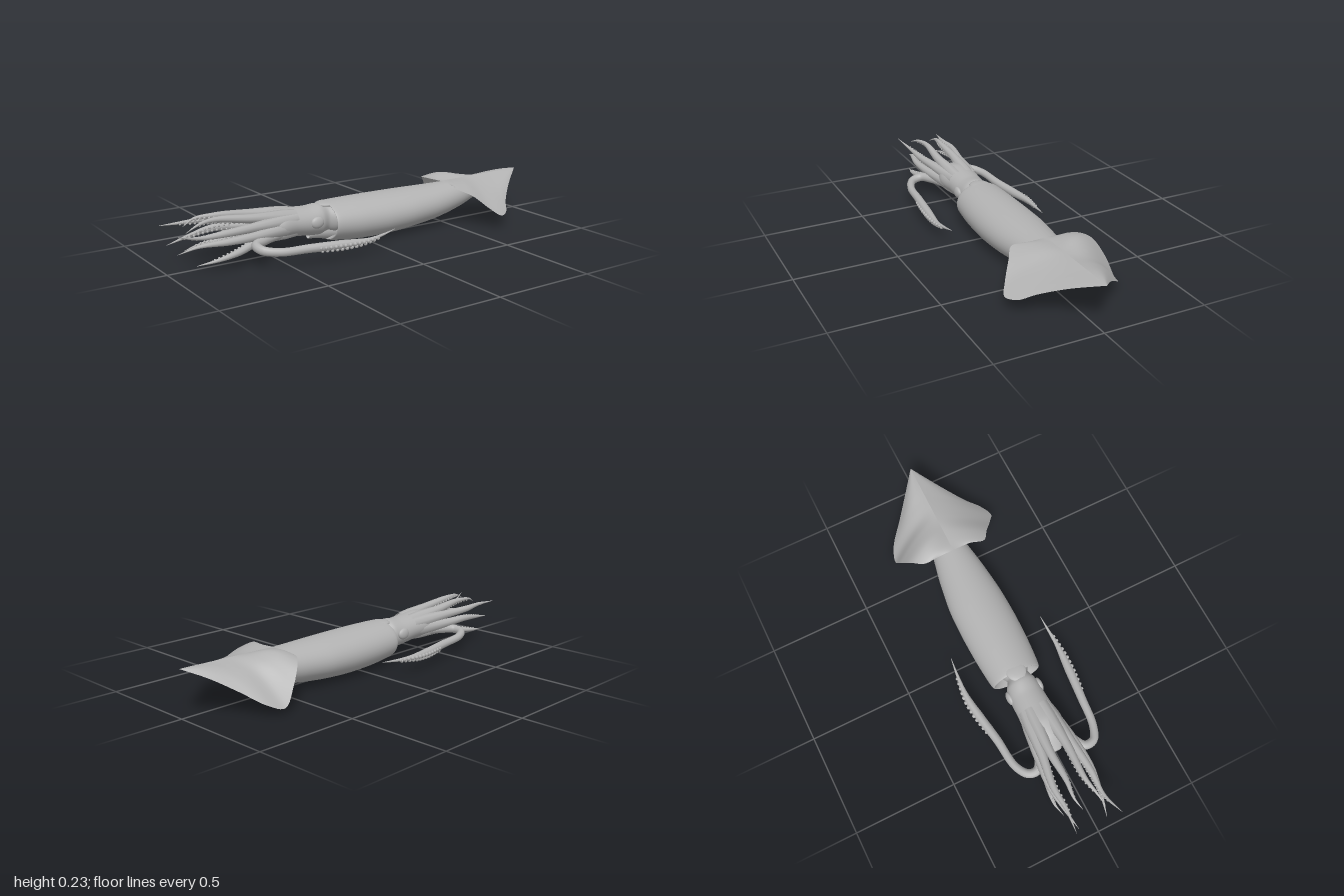
import * as THREE from 'three';
import { mergeGeometries } from 'three/addons/utils/BufferGeometryUtils.js';

const V = (p) => new THREE.Vector3(...p);

// Indexed grid surface from point(i, j); columns may wrap round
function grid(rows, cols, wrap, point) {
  const pos = [], idx = [];
  for (let i = 0; i < rows; i++) for (let j = 0; j < cols; j++) pos.push(...point(i, j));
  for (let i = 0; i < rows - 1; i++) for (let j = 0; j < (wrap ? cols : cols - 1); j++) {
    const k = (j + 1) % cols;
    const a = i * cols + j, b = a + cols, c = i * cols + k, d = c + cols;
    idx.push(a, b, c, b, d, c);
  }
  const g = new THREE.BufferGeometry();
  g.setAttribute('position', new THREE.Float32BufferAttribute(pos, 3));
  g.setIndex(idx);
  g.computeVertexNormals();
  return g;
}

// Smooth loft along x from stations [x, yBottom, yTop, zMin, zMax]
function loft(stations, rows = 70, cols = 40) {
  const curve = (f) => new THREE.CatmullRomCurve3(stations.map(f), false, 'catmullrom', 0.4);
  const low = curve((s) => V([s[0], s[1], s[3]]));
  const high = curve((s) => V([s[0], s[2], s[4]]));
  return grid(rows, cols, true, (i, j) => {
    const t = i / (rows - 1), a = (j / cols) * Math.PI * 2;
    const l = low.getPoint(t), h = high.getPoint(t);
    return [l.x, (l.y + h.y) / 2 + (h.y - l.y) / 2 * Math.sin(a),
      (l.z + h.z) / 2 + (h.z - l.z) / 2 * Math.cos(a)];
  });
}

// Tube whose radius follows a list of values from root to tip
function taperedTube(curve, radii, seg = 48, sides = 10) {
  const g = new THREE.TubeGeometry(curve, seg, 1, sides, false);
  const p = g.attributes.position, v = new THREE.Vector3();
  for (let i = 0; i <= seg; i++) {
    const c = curve.getPointAt(i / seg), r = radiusAt(radii, i / seg);
    for (let j = 0; j <= sides; j++) {
      const k = i * (sides + 1) + j;
      v.fromBufferAttribute(p, k).sub(c).multiplyScalar(r).add(c);
      p.setXYZ(k, v.x, v.y, v.z);
    }
  }
  return g;
}

function radiusAt(radii, t) {
  const f = t * (radii.length - 1), i = Math.min(Math.floor(f), radii.length - 2);
  return THREE.MathUtils.lerp(radii[i], radii[i + 1], f - i);
}

// Two rows of suckers on the side of a curve that faces dir
function suckers(curve, radii, from, to, count, size, dir) {
  const parts = [], side = new THREE.Vector3();
  for (let i = 0; i < count; i++) for (const s of [-1, 1]) {
    const t = from + (to - from) * (i + (s > 0 ? 0.5 : 0)) / count;
    const r = radiusAt(radii, t), c = curve.getPointAt(t);
    side.crossVectors(curve.getTangentAt(t), dir).normalize();
    c.addScaledVector(dir, r * 0.85).addScaledVector(side, s * r * 0.5);
    const k = size * (0.75 + 0.35 * Math.sin(Math.PI * i / count));
    parts.push(new THREE.SphereGeometry(k, 7, 5).translate(c.x, c.y, c.z));
  }
  return mergeGeometries(parts);
}

export function createModel() {
  const model = new THREE.Group();
  model.name = 'squid';
  const skin = new THREE.MeshStandardMaterial({ color: 0xb2b2b2, side: THREE.DoubleSide });
  skin.name = 'grey skin';
  const add = (name, geometry, parent = model) => {
    const m = new THREE.Mesh(geometry, skin);
    m.name = name;
    parent.add(m);
  };

  // Mantle, with its rim folded inwards at the open end
  add('mantle', loft([
    [-0.10, 0.05, 0.19, -0.10, 0.08], [-0.17, 0.04, 0.198, -0.115, 0.09],
    [-0.195, 0.027, 0.205, -0.13, 0.105], [-0.17, 0.018, 0.209, -0.14, 0.113],
    [-0.05, 0.006, 0.21, -0.149, 0.124], [0.1, 0.002, 0.209, -0.153, 0.129],
    [0.25, 0.01, 0.207, -0.149, 0.124], [0.4, 0.025, 0.205, -0.128, 0.107],
    [0.5, 0.042, 0.205, -0.108, 0.09], [0.6, 0.066, 0.206, -0.085, 0.07],
    [0.7, 0.1, 0.208, -0.06, 0.048], [0.8, 0.135, 0.21, -0.04, 0.028],
    [0.9, 0.175, 0.214, -0.022, 0.012], [0.99, 0.217, 0.219, -0.003, 0.001],
  ], 100));

  // Pointed lip on the mantle's upper rim
  add('mantleLip', new THREE.SphereGeometry(1, 20, 12).scale(0.055, 0.012, 0.05).translate(-0.185, 0.197, -0.015));

  // Tail fins drooping from the midline to a wavy edge
  const finEdges = {
    rightFin: [[0.5, 0.207, -0.09], [0.5, 0.203, -0.16], [0.54, 0.185, -0.212], [0.6, 0.11, -0.252],
      [0.66, 0.03, -0.266], [0.73, 0.05, -0.238], [0.82, 0.115, -0.155], [0.91, 0.175, -0.075], [1, 0.22, 0]],
    leftFin: [[0.5, 0.207, 0.09], [0.484, 0.2, 0.155], [0.54, 0.17, 0.198], [0.61, 0.105, 0.252],
      [0.66, 0.07, 0.28], [0.72, 0.075, 0.25], [0.77, 0.11, 0.19], [0.87, 0.165, 0.1], [1, 0.22, 0]],
  };
  for (const [name, pts] of Object.entries(finEdges)) {
    const edge = new THREE.CatmullRomCurve3(pts.map(V));
    add(name, grid(45, 15, false, (i, j) => {
      const t = i / 44, u = j / 14, e = edge.getPoint(t);
      const root = new THREE.Vector3(0.5 + 0.5 * t, 0.212 + 0.008 * t, -0.005 * (1 - t));
      const p = root.lerp(e, u);
      p.y += 0.07 * Math.sin(Math.PI * u) * Math.sin(Math.PI * t) * (name === 'rightFin' ? 0.6 : 0.25);
      return [p.x, p.y, p.z];
    }));
  }

  // Head with a narrow neck, eyes and funnel
  add('head', loft([
    [-0.6, 0.12, 0.14, -0.03, 0.01], [-0.54, 0.09, 0.19, -0.09, 0.06], [-0.46, 0.073, 0.21, -0.104, 0.082],
    [-0.38, 0.07, 0.205, -0.1, 0.07], [-0.3, 0.06, 0.2, -0.097, 0.066], [-0.24, 0.055, 0.205, -0.088, 0.06],
    [-0.2, 0.065, 0.195, -0.065, 0.045], [-0.15, 0.06, 0.19, -0.08, 0.06], [-0.1, 0.12, 0.13, -0.01, 0],
  ]));
  for (const s of [1, -1]) {
    add(s > 0 ? 'leftEye' : 'rightEye',
      new THREE.SphereGeometry(1, 20, 14).scale(0.035, 0.028, 0.016).translate(-0.28, 0.135, -0.015 + s * 0.078));
  }
  const funnel = new THREE.CatmullRomCurve3([[-0.14, 0.06, -0.012], [-0.22, 0.065, -0.012], [-0.29, 0.062, -0.012]].map(V));
  add('funnel', taperedTube(funnel, [0.045, 0.035, 0.02], 16, 16));

  // Eight arms: waypoints from the crown to the tip
  const armPaths = [
    [[-0.38, 0.17, 0.02], [-0.6, 0.198, 0.03], [-0.78, 0.22, 0.025], [-0.86, 0.215, 0.04], [-0.93, 0.19, 0.055]],
    [[-0.38, 0.16, 0.03], [-0.6, 0.165, 0.06], [-0.75, 0.165, 0.075], [-0.88, 0.165, 0.075], [-0.99, 0.195, 0.105]],
    [[-0.38, 0.13, 0.03], [-0.6, 0.13, 0.08], [-0.75, 0.13, 0.09], [-0.88, 0.125, 0.07], [-0.97, 0.1, 0.05]],
    [[-0.38, 0.11, 0.02], [-0.58, 0.1, 0.055], [-0.7, 0.075, 0.09], [-0.8, 0.06, 0.1], [-0.9, 0.045, 0.08]],
    [[-0.38, 0.17, -0.04], [-0.6, 0.2, -0.055], [-0.75, 0.217, -0.052], [-0.84, 0.215, -0.06], [-0.9, 0.19, -0.045]],
    [[-0.38, 0.16, -0.06], [-0.6, 0.175, -0.09], [-0.75, 0.185, -0.115], [-0.86, 0.19, -0.11], [-0.98, 0.19, -0.12]],
    [[-0.38, 0.13, -0.06], [-0.6, 0.135, -0.105], [-0.72, 0.14, -0.12], [-0.84, 0.125, -0.11], [-0.96, 0.105, -0.09]],
    [[-0.38, 0.11, -0.04], [-0.58, 0.1, -0.08], [-0.7, 0.08, -0.115], [-0.8, 0.065, -0.13], [-0.87, 0.055, -0.115]],
  ];
  const armRadii = [0.035, 0.034, 0.028, 0.022, 0.019, 0.016, 0.011, 0.006, 0.0005];
  armPaths.forEach((path, n) => {
    const arm = new THREE.Group();
    arm.name = 'arm' + (n + 1);
    model.add(arm);
    const curve = new THREE.CatmullRomCurve3(path.map(V));
    const inward = new THREE.Vector3(0, 0.14 - path[2][1], -0.02 - path[2][2]).normalize();
    add('armLimb', taperedTube(curve, armRadii), arm);
    add('armSuckers', suckers(curve, armRadii, 0.45, 0.88, 11, 0.006, inward), arm);
  });

  // Two long tentacles folded back along the body, ending in clubs
  const tentaclePaths = {
    leftTentacle: [[-0.46, 0.11, 0.04], [-0.57, 0.105, 0.08], [-0.63, 0.1, 0.12], [-0.625, 0.09, 0.17],
      [-0.56, 0.08, 0.205], [-0.42, 0.077, 0.222], [-0.28, 0.072, 0.236], [-0.13, 0.07, 0.246], [-0.04, 0.08, 0.242], [0.035, 0.095, 0.237]],
    rightTentacle: [[-0.46, 0.11, -0.06], [-0.57, 0.105, -0.09], [-0.635, 0.1, -0.13], [-0.63, 0.095, -0.175],
      [-0.57, 0.088, -0.213], [-0.42, 0.08, -0.23], [-0.28, 0.075, -0.252], [-0.17, 0.077, -0.264], [-0.06, 0.082, -0.258], [0.04, 0.09, -0.247]],
  };
  const tentacleRadii = [0.024, 0.024, 0.023, 0.021, 0.019, 0.019, 0.02, 0.021, 0.021, 0.017, 0.01, 0.006, 0.001];
  for (const [name, path] of Object.entries(tentaclePaths)) {
    const tentacle = new THREE.Group();
    tentacle.name = name;
    model.add(tentacle);
    const curve = new THREE.CatmullRomCurve3(path.map(V));
    const outward = new THREE.Vector3(0, -0.6, Math.sign(path[4][2])).normalize();
    add('tentacleStalk', taperedTube(curve, tentacleRadii, 80, 12), tentacle);
    add('clubSuckers', suckers(curve, tentacleRadii, 0.55, 0.9, 13, 0.0095, outward), tentacle);
  }
  return model;
}
